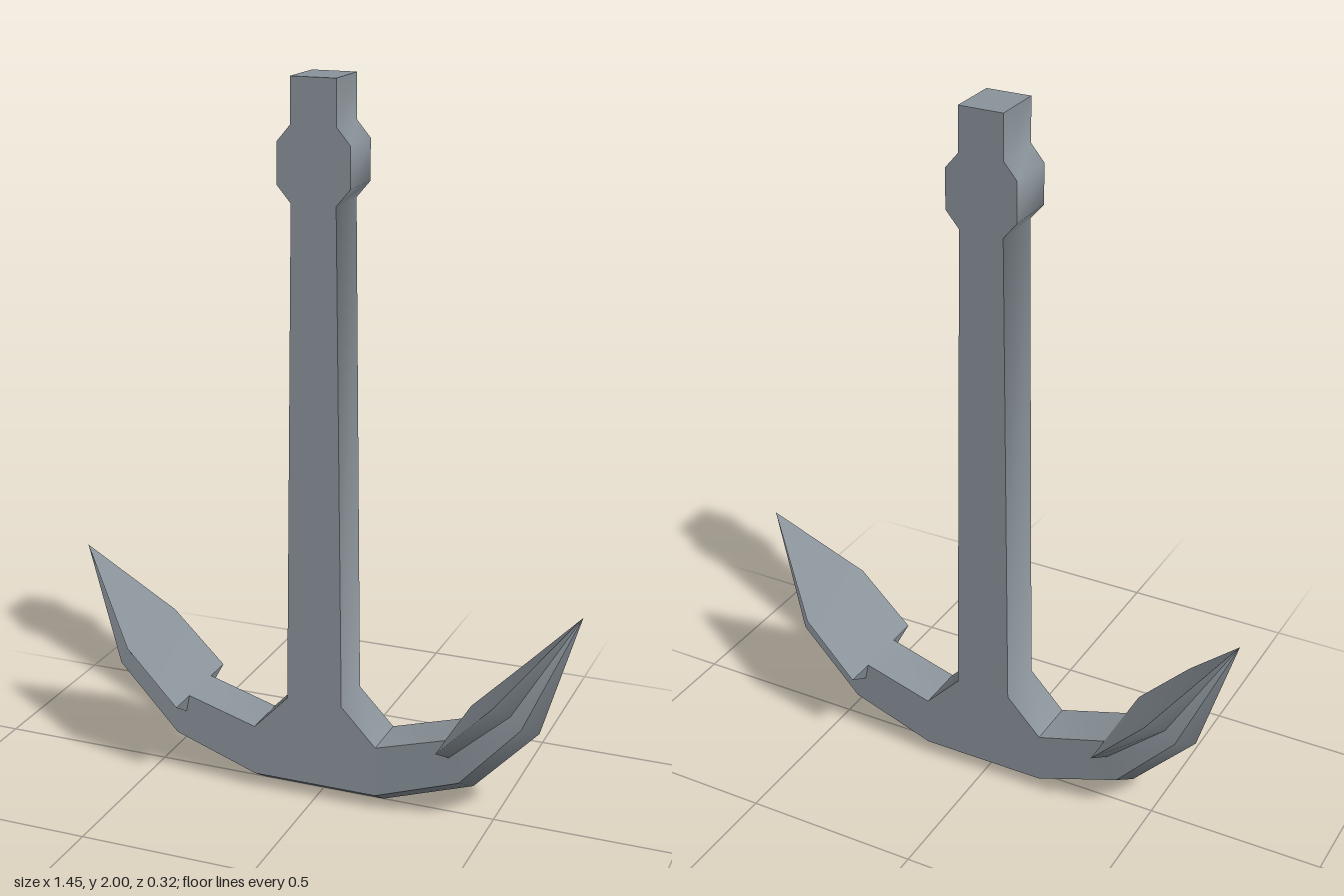
import * as THREE from 'three';
import { toCreasedNormals } from 'three/addons/utils/BufferGeometryUtils.js';

const HALF = 0.0725; // half thickness of shank and arms

// Half of the arms, from crown to tip. Each station: [x, y, half z] for
// top edge, fluke root, chine, and the keel line below.
const armStations = [
  [[0.18, 0.195, HALF], [0.18, 0.14, HALF], [0.18, 0.05, HALF], [0.18, 0.005, 0]],
  [[0.38, 0.255, HALF], [0.39, 0.205, HALF], [0.42, 0.135, HALF], [0.44, 0.095, 0]],
  [[0.38, 0.255, 0.158], [0.39, 0.205, HALF], [0.42, 0.135, HALF], [0.44, 0.095, 0]],
  [[0.53, 0.408, 0.152], [0.56, 0.36, 0.078], [0.59, 0.325, 0.078], [0.62, 0.285, 0]],
  [[0.725, 0.637, 0], [0.725, 0.637, 0], [0.725, 0.637, 0], [0.725, 0.637, 0]],
];

// Closed ring: down the +z side to the keel, then up the -z side
function ring(station, side) {
  const down = station.map(([x, y, z]) => new THREE.Vector3(side * x, y, z));
  const up = station.slice(0, 3).reverse().map(([x, y, z]) => new THREE.Vector3(side * x, y, -z));
  return [...down, ...up];
}

// Skin a list of rings, leaving out triangles without area
function loft(rings) {
  const positions = [];
  const triangle = new THREE.Triangle();
  const add = (a, b, c) => {
    if (triangle.set(a, b, c).getArea() < 1e-7) return;
    for (const p of [a, b, c]) positions.push(p.x, p.y, p.z);
  };
  for (let i = 0; i < rings.length - 1; i++) {
    const n = rings[i].length;
    for (let j = 0; j < n; j++) {
      const k = (j + 1) % n;
      add(rings[i][j], rings[i][k], rings[i + 1][k]);
      add(rings[i][j], rings[i + 1][k], rings[i + 1][j]);
    }
  }
  const geometry = new THREE.BufferGeometry();
  geometry.setAttribute('position', new THREE.Float32BufferAttribute(positions, 3));
  return geometry;
}

export function createModel() {
  const iron = new THREE.MeshStandardMaterial({ color: 0x8b949b });
  iron.name = 'iron grey';
  const anchor = new THREE.Group();
  anchor.name = 'anchor';

  const addPart = (name, geometry, crease) => {
    const mesh = new THREE.Mesh(toCreasedNormals(geometry, crease), iron);
    mesh.name = name;
    anchor.add(mesh);
  };

  // Shank with flared foot and stock collar, outlined on both sides
  const edge = [
    [0.18, 0.195], [0.08, 0.3], [0.062, 1.68], [0.1, 1.725],
    [0.1, 1.835], [0.062, 1.88], [0.062, 2],
  ];
  const outline = [...edge, ...edge.map(([x, y]) => [-x, y]).reverse()];
  const shank = new THREE.ExtrudeGeometry(
    new THREE.Shape(outline.map(([x, y]) => new THREE.Vector2(x, y))),
    { depth: 2 * HALF, bevelEnabled: false },
  );
  shank.translate(0, 0, -HALF);
  addPart('shank', shank, 0.9);

  // Curved arms with keel and pointed flukes, tip to tip
  const left = armStations.map((s) => ring(s, 1));
  const right = armStations.map((s) => ring(s, -1)).reverse();
  addPart('armsAndFlukes', loft([...right, ...left]), 0.6);

  return anchor;
}
